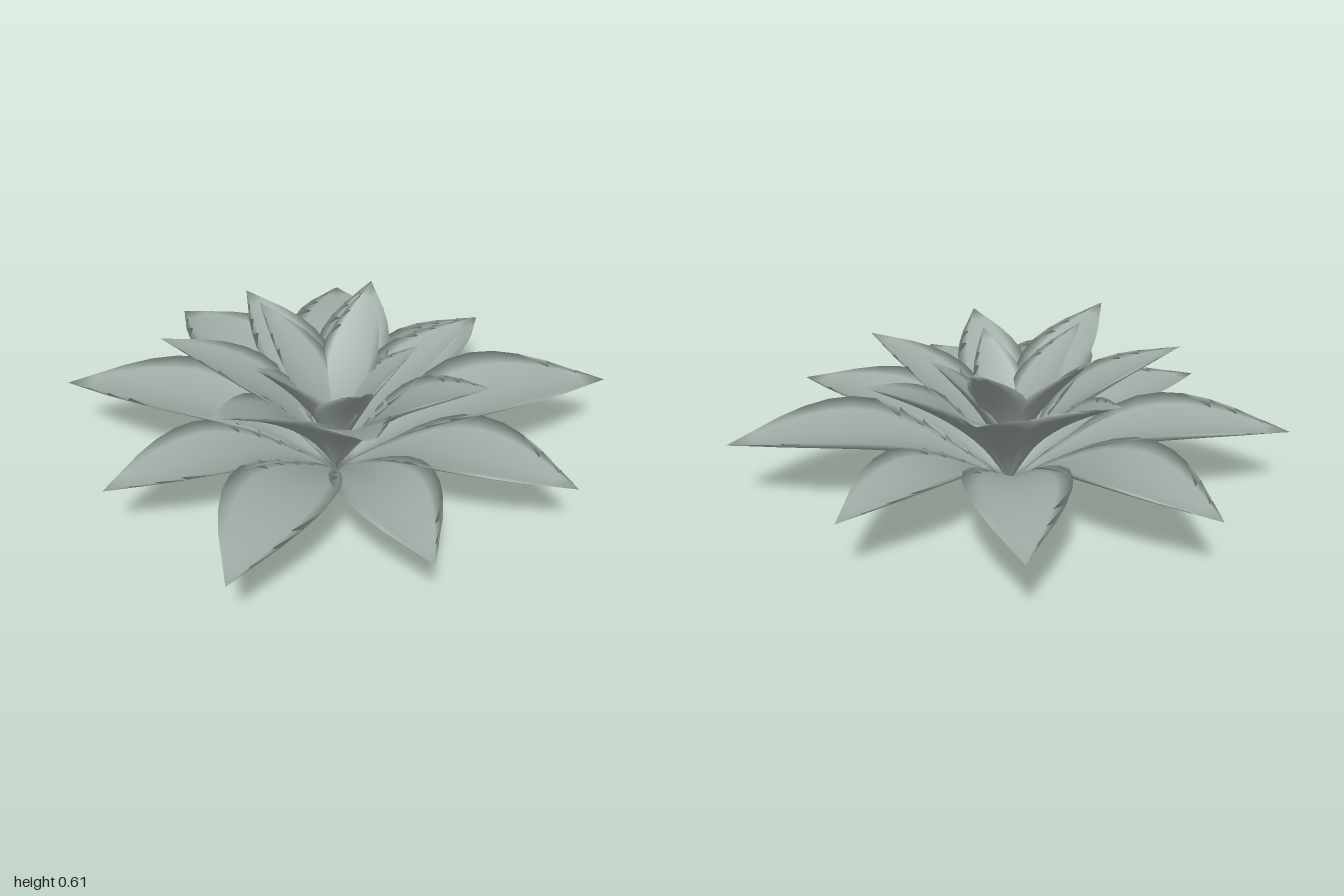
import * as THREE from 'three';
import { mergeVertices } from 'three/addons/utils/BufferGeometryUtils.js';

const leafGreen = new THREE.MeshStandardMaterial({ color: 0xa1ada7 });
leafGreen.name = 'sageGreen';

// all petals grow from one point
const BASE = new THREE.Vector3(-0.035, 0, 0.045);

// half-width of a petal from base to tip, as a share of its widest point
const WIDTHS = [0, 0.19, 0.44, 0.76, 0.97, 0.98, 0.79, 0.44, 0];
const outline = new THREE.SplineCurve(
  WIDTHS.map((w, i) => new THREE.Vector2(i / (WIDTHS.length - 1), w)));

// tips as [x, y, z, half-width]
const RINGS = {
  outerPetal: [
    [1.0, 0.275, 0.04, 0.205], [0.67, 0.255, -0.55, 0.16], [0.14, 0.26, -0.915, 0.185],
    [-0.53, 0.26, -0.82, 0.195], [-1.0, 0.275, -0.305, 0.19], [-0.88, 0.24, 0.35, 0.17],
    [-0.52, 0.24, 0.885, 0.185], [0.12, 0.24, 0.905, 0.175], [0.68, 0.25, 0.64, 0.185],
  ],
  middlePetal: [
    [0.515, 0.515, -0.105, 0.135], [0.2, 0.51, -0.47, 0.14], [-0.295, 0.52, -0.46, 0.14],
    [-0.64, 0.555, -0.085, 0.135], [-0.505, 0.548, 0.44, 0.14], [-0.015, 0.505, 0.605, 0.135],
    [0.43, 0.52, 0.39, 0.14],
  ],
  innerPetal: [
    [0.16, 0.605, -0.28, 0.11], [-0.27, 0.59, -0.225, 0.11], [-0.345, 0.57, 0.195, 0.105],
    [0.0, 0.52, 0.35, 0.105], [0.26, 0.52, 0.07, 0.105],
  ],
};

// A fleshy petal: arched midrib, cupped upper face and a keeled underside
function petal([x, y, z, halfWidth]) {
  const chord = new THREE.Vector3(x, y, z).sub(BASE);
  const length = chord.length();
  const along = chord.clone().normalize();
  const side = along.clone().cross(new THREE.Vector3(0, 1, 0)).normalize();
  const up = side.clone().cross(along);
  const arch = (s) => 0.115 * length * Math.sin(Math.PI * s);

  const tube = new THREE.CylinderGeometry(1, 1, 1, 8, 12, true);
  tube.deleteAttribute('normal');
  tube.deleteAttribute('uv');
  const pos = tube.attributes.position;
  const p = new THREE.Vector3();
  for (let i = 0; i < pos.count; i++) {
    const u = pos.getX(i);
    const s = pos.getY(i) + 0.5;
    const w = halfWidth * outline.getPoint(s).y;
    const cup = 0.4 * (1 - 0.6 * s) * w * u * u;
    const keel = pos.getZ(i) < 0 ? 0.22 * w * (1 - u * u) : 0;
    p.copy(BASE)
      .addScaledVector(along, s * length)
      .addScaledVector(side, u * w)
      .addScaledVector(up, arch(s) + cup - keel);
    pos.setXYZ(i, p.x, p.y, p.z);
  }
  // join the seam and both faces so the shading rolls over the edge
  const geometry = mergeVertices(tube);
  geometry.computeVertexNormals();
  return new THREE.Mesh(geometry, leafGreen);
}

export function createModel() {
  const model = new THREE.Group();
  model.name = 'rosettePlant';
  for (const [name, tips] of Object.entries(RINGS)) {
    const ring = new THREE.Group();
    ring.name = name + 'Ring';
    for (const tip of tips) {
      const mesh = petal(tip);
      mesh.name = name;
      ring.add(mesh);
    }
    model.add(ring);
  }
  return model;
}
